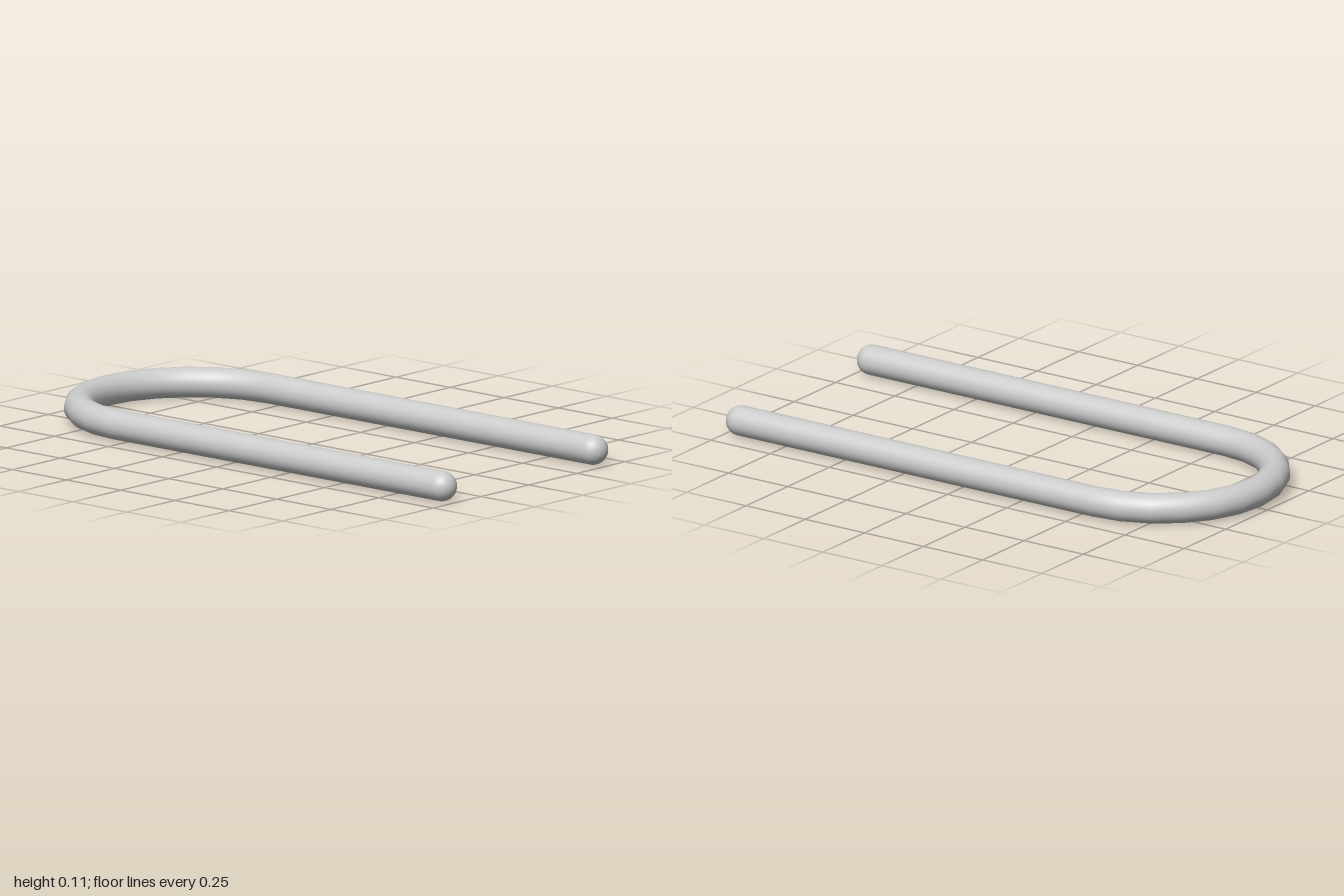
import * as THREE from 'three';

const R = 0.394;        // bend radius, also half the leg spacing
const r = 0.053;        // rod radius
const zBend = -1 + R + r;
const zTip = 1 - r;
const SIDES = 32;

export function createModel() {
  const model = new THREE.Group();
  model.name = 'uShapedRod';
  const material = new THREE.MeshStandardMaterial({ color: 0xcccccc });

  const add = (name, geometry, x, z) => {
    const mesh = new THREE.Mesh(geometry, material);
    mesh.name = name;
    mesh.position.set(x, r, z);
    model.add(mesh);
  };

  // half-circle bend at the back
  add('bend', new THREE.TorusGeometry(R, r, SIDES, 12, Math.PI).rotateX(-Math.PI / 2), 0, zBend);

  // straight legs with rounded tips
  const legGeometry = new THREE.CylinderGeometry(r, r, zTip - zBend, SIDES, 1, true).rotateX(Math.PI / 2);
  const tipGeometry = new THREE.SphereGeometry(r, SIDES, 10, 0, Math.PI * 2, 0, Math.PI / 2).rotateX(Math.PI / 2);
  for (const [side, sign] of [['left', 1], ['right', -1]]) {
    add(side + 'Leg', legGeometry, sign * R, (zTip + zBend) / 2);
    add(side + 'Tip', tipGeometry, sign * R, zTip);
  }
  return model;
}
